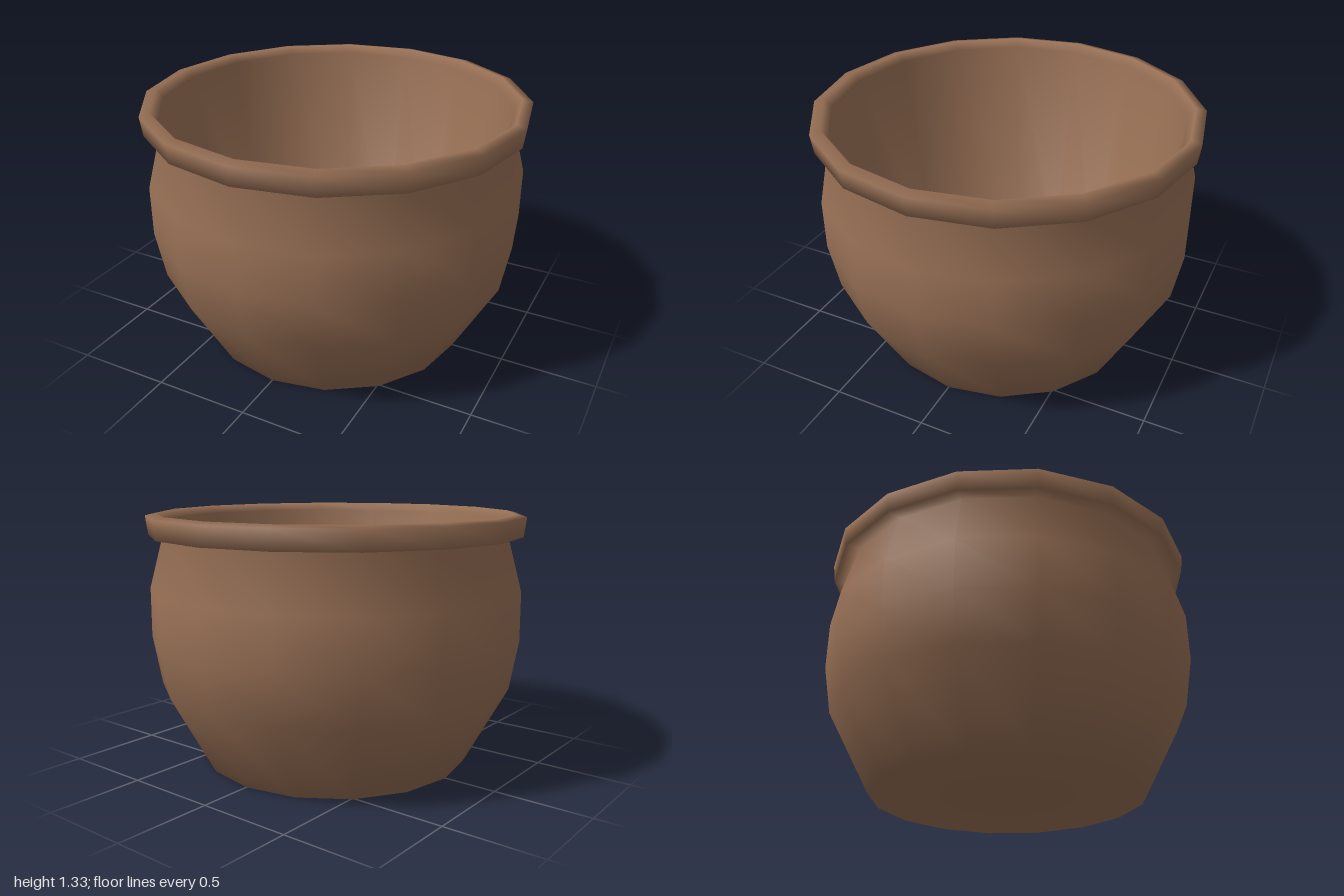
import * as THREE from 'three';
import { mergeVertices } from 'three/addons/utils/BufferGeometryUtils.js';

const SIDES = 16;

// [radius, height] profile, from the underside round the lip to the inner floor
const PROFILE = [
  // flat base and bulging outer wall
  [0, 0], [0.72, 0], [0.945, 0.42], [0.99, 0.68], [0.988, 0.94], [0.912, 1.22],
  // overhanging lip
  [0.987, 1.22], [1, 1.32], [0.945, 1.333], [0.912, 1.29],
  // straight tapered inner wall and floor
  [0.7, 0.03], [0, 0.03],
];

export function createModel() {
  const group = new THREE.Group();
  group.name = 'pot';

  const lathe = new THREE.LatheGeometry(PROFILE.map(([r, y]) => new THREE.Vector2(r, y)), SIDES);

  // Weld the seam and rings so one smooth shading runs over the whole pot
  lathe.deleteAttribute('uv');
  lathe.deleteAttribute('normal');
  const geometry = mergeVertices(lathe);
  geometry.computeVertexNormals();

  const body = new THREE.Mesh(geometry, new THREE.MeshStandardMaterial({ color: 0x987055 }));
  body.name = 'potBody';
  group.add(body);
  return group;
}
